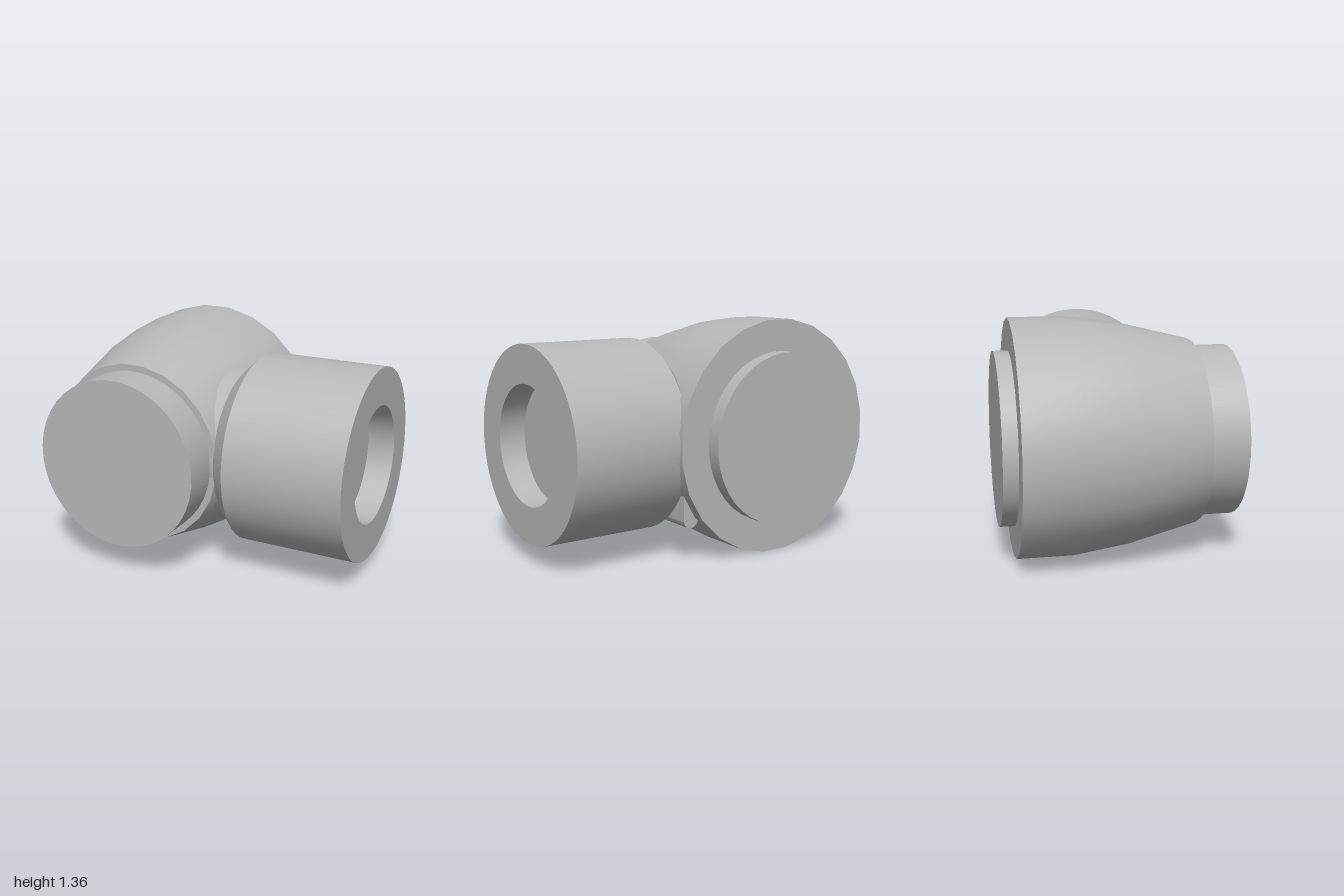
import * as THREE from 'three';
import { toCreasedNormals } from 'three/addons/utils/BufferGeometryUtils.js';

// Turned solid from [radius, height] pairs, listed bottom to top
function turned(profile, sides) {
  const points = profile.map(([r, h]) => new THREE.Vector2(r, h));
  return toCreasedNormals(new THREE.LatheGeometry(points, sides, Math.PI / sides), Math.PI / 6);
}

export function createModel() {
  const group = new THREE.Group();
  const grey = new THREE.MeshStandardMaterial({ color: 0xb8b8b8 });
  grey.name = 'grey';

  const add = (name, geometry, x, y, z) => {
    const mesh = new THREE.Mesh(geometry, grey);
    mesh.name = name;
    mesh.position.set(x, y, z);
    group.add(mesh);
    return mesh;
  };

  // Tapered housing, running along z and widest at the back
  add('housing', turned([
    [0, -0.59], [0.685, -0.59], [0.685, -0.27], [0.64, 0.05], [0.54, 0.455], [0, 0.455],
  ], 24).rotateX(Math.PI / 2), -0.32, 0.68, 0);

  // Round core standing out at both ends of the housing
  add('core', turned([
    [0, -0.675], [0.5, -0.675], [0.5, 0.675], [0, 0.675],
  ], 40).rotateX(Math.PI / 2), -0.32, 0.68, 0);

  // Side arm along x: neck, chamfer, barrel and a blind bore in its end
  add('sideArm', turned([
    [0, 0.0], [0.465, 0.0], [0.465, 0.2], [0.565, 0.3], [0.565, 1],
    [0.345, 1], [0.345, 0.84], [0, 0.84],
  ], 48).rotateZ(-Math.PI / 2), 0, 0.68, -0.005);

  // Web between the housing and the arm, with a rounded lower edge
  const web = new THREE.Shape();
  web.moveTo(0.2, 0.6);
  web.lineTo(0.2, 0.255);
  web.absarc(0.25, 0.255, 0.05, Math.PI, Math.PI * 2, false);
  web.lineTo(0.3, 0.6);
  web.closePath();
  const webGeometry = new THREE.ExtrudeGeometry(web, { depth: 0.42, bevelEnabled: false, curveSegments: 10 });
  add('web', toCreasedNormals(webGeometry, Math.PI / 6), 0, 0, -0.52);

  return group;
}
